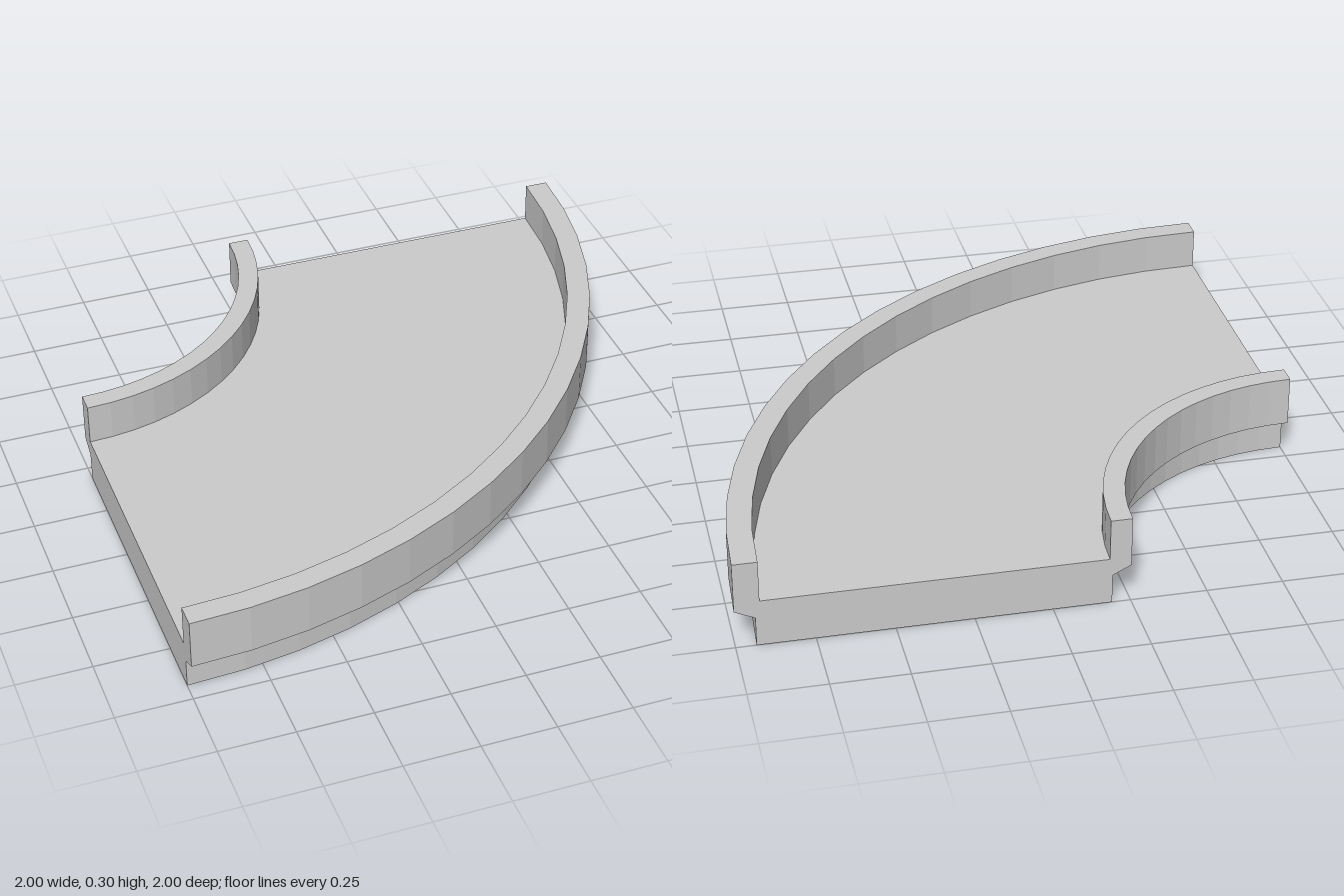
import * as THREE from 'three';

export function createModel() {
  const group = new THREE.Group();
  group.name = 'curvedTray';
  const material = new THREE.MeshStandardMaterial({ color: 0xcccccc, flatShading: true });

  // Cross-section as [radius, height], anticlockwise from the inner foot
  const profile = [
    [0.81, 0], [1.935, 0], [1.935, 0.1], [2, 0.13], [2, 0.3], [1.92, 0.3],
    [1.92, 0.16], [0.82, 0.16], [0.82, 0.3], [0.75, 0.3], [0.75, 0.13], [0.81, 0.1],
  ].map(([r, y]) => new THREE.Vector2(r, y));

  const add = (name, geometry) => {
    const mesh = new THREE.Mesh(geometry, material);
    mesh.name = name;
    mesh.position.set(-1, 0, -1); // centre of the bend
    group.add(mesh);
    return mesh;
  };

  // Quarter-turn channel: floor, underside and both rims
  add('curvedChannel', new THREE.LatheGeometry([...profile, profile[0].clone()], 16, 0, Math.PI / 2));

  // Flat faces closing the two ends
  const endFace = (sign) => new THREE.ShapeGeometry(
    new THREE.Shape(profile.map((p) => new THREE.Vector2(sign * p.x, p.y))));
  add('sideEndFace', endFace(1)).rotation.y = -Math.PI / 2;
  add('backEndFace', endFace(-1)).rotation.y = Math.PI;

  return group;
}
